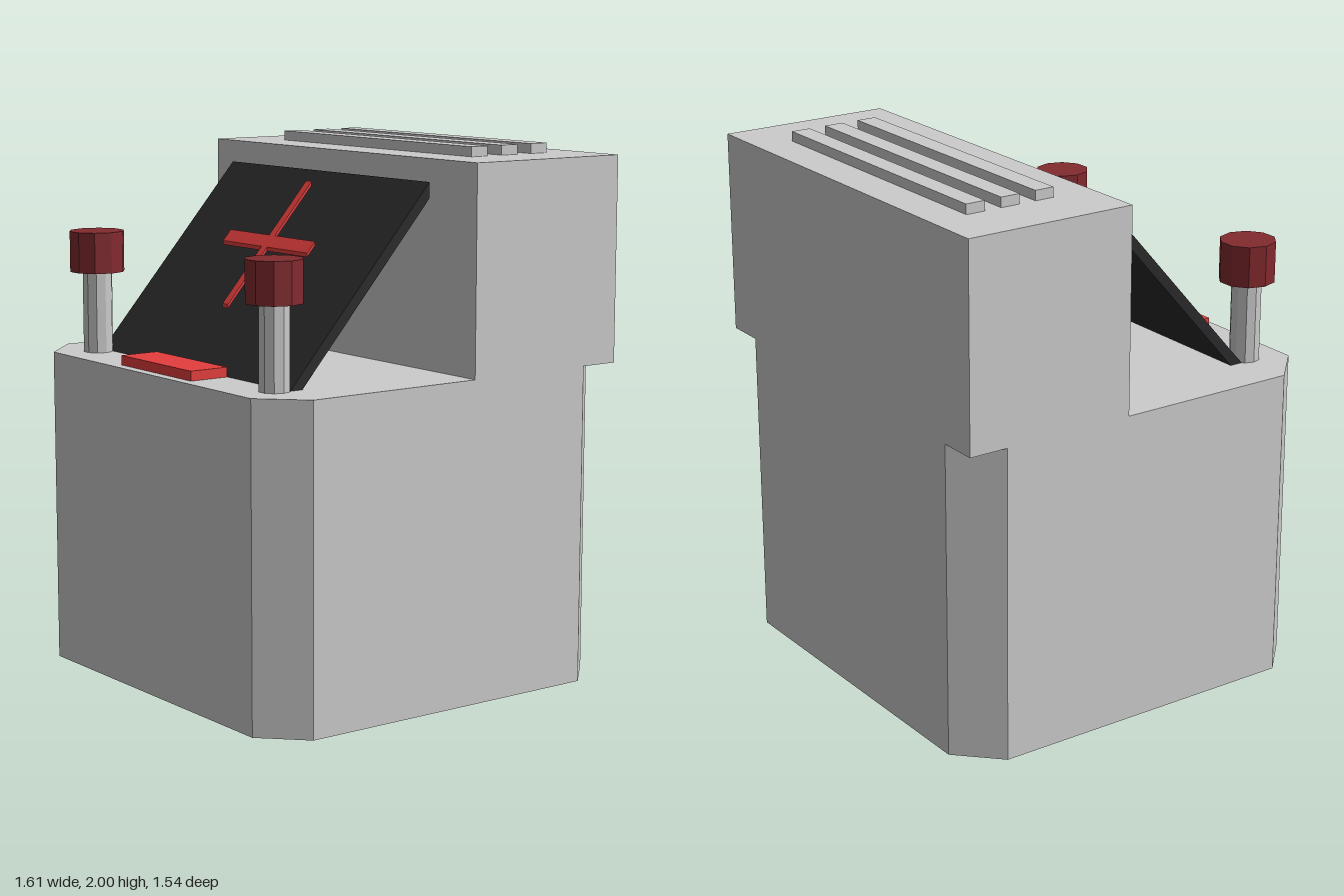
import * as THREE from 'three';

const material = (color) => new THREE.MeshStandardMaterial({ color, flatShading: true });
const grey = material(0xcccccc);
const dark = material(0x2a2a2c);
const red = material(0xe53e3e);
const maroon = material(0x822a2e);

function add(parent, name, geometry, mat, x = 0, y = 0, z = 0) {
  const mesh = new THREE.Mesh(geometry, mat);
  mesh.name = name;
  mesh.position.set(x, y, z);
  parent.add(mesh);
  return mesh;
}

function extrude(points, depth) {
  const shape = new THREE.Shape(points.map(([a, b]) => new THREE.Vector2(a, b)));
  return new THREE.ExtrudeGeometry(shape, { depth, bevelEnabled: false });
}

// Sloping slab with upright ends: profile in (z, y), extruded along x
function slab(halfWidth, z0, y0, z1, y1, thickness) {
  const profile = [[-z0, y0 - thickness], [-z0, y0], [-z1, y1], [-z1, y1 - thickness]];
  return extrude(profile, halfWidth * 2).translate(0, 0, -halfWidth).rotateY(Math.PI / 2);
}

export function createModel() {
  const model = new THREE.Group();
  model.name = 'console';

  // Lower cabinet with four chamfered corners
  const w = 0.805, d = 0.768, c = 0.152, deck = 1.195;
  const plan = [
    [-w + c, -d], [w - c, -d], [w, -d + c], [w, d - c],
    [w - c, d], [-w + c, d], [-w, d - c], [-w, -d + c],
  ];
  add(model, 'cabinet', extrude(plan, deck).rotateX(-Math.PI / 2), grey);

  // Square upper housing, overhanging the rear chamfers
  const back = -d, front = -0.097, top = 1.963;
  add(model, 'upperHousing', new THREE.BoxGeometry(w * 2, top - deck, front - back), grey,
    0, (top + deck) / 2, (front + back) / 2);

  // Ribs on the roof
  for (const z of [-0.584, -0.442, -0.3]) {
    add(model, 'roofRib', new THREE.BoxGeometry(1.152, 0.037, 0.076), grey, 0, top + 0.0185, z);
  }

  // Sloping screen with a floating cross
  add(model, 'screen', slab(0.613, 0.573, 1.195, -0.038, 1.886, 0.058), dark);
  const cross = new THREE.Group();
  cross.name = 'cross';
  add(cross, 'crossUpright', slab(0.0175, 0.423, 1.422, 0.042, 1.853, 0.015), red);
  add(cross, 'crossBar', slab(0.268, 0.247, 1.621, 0.212, 1.661, 0.015), red);
  model.add(cross);

  // Key pad in front of the screen
  add(model, 'frontPad', new THREE.BoxGeometry(0.46, 0.036, 0.155), red, 0, deck + 0.018, 0.652);

  // Two posts with ten-sided knobs
  for (const side of [-1, 1]) {
    const control = new THREE.Group();
    control.name = side > 0 ? 'leftControl' : 'rightControl';
    control.position.set(side * 0.577, 0, 0.615);
    control.rotation.y = Math.PI / 2;
    add(control, 'post', new THREE.CylinderGeometry(0.057, 0.057, 0.32, 10), grey, 0, deck + 0.16, 0);
    add(control, 'knob', new THREE.CylinderGeometry(0.105, 0.105, 0.154, 10), maroon, 0, 1.579, 0);
    model.add(control);
  }
  return model;
}
